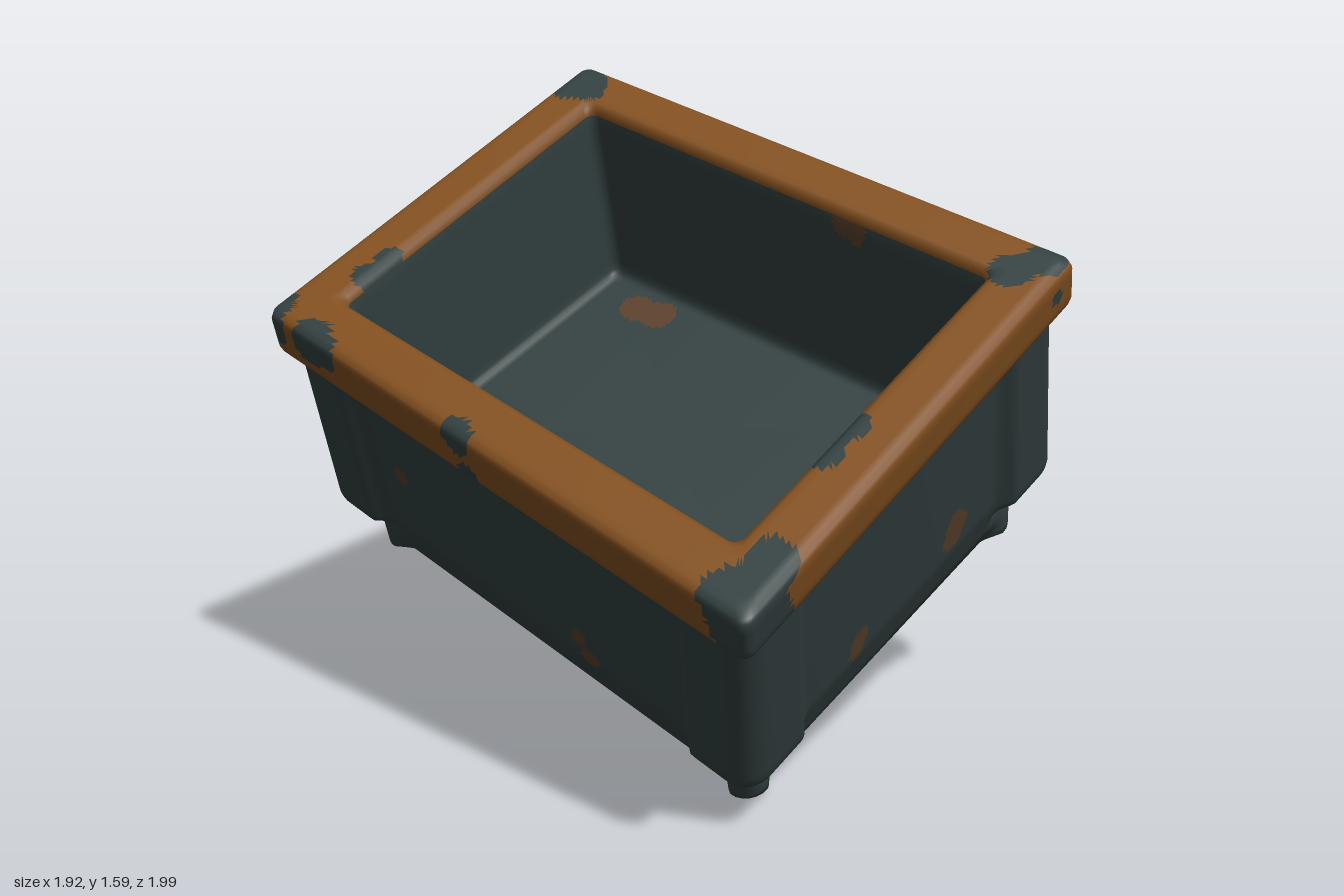
import * as THREE from 'three';

const HX = 0.75, HZ = 0.58, DEPTH = 0.9; // half sizes of the upright bin, and cell depth

// Corners of the tilted rim and the direction each corner runs downward
const TOP = [[-0.325, 1.605, -0.695], [0.96, 1.205, 0.06], [-0.97, 1.035, 0.085], [0.32, 0.615, 1.01]]
  .map((p) => new THREE.Vector3(...p));
const DOWN = [[0.055, -0.87, -0.5], [0.045, -0.79, -0.46], [0.01, -0.79, -0.45], [-0.03, -0.78, -0.465]]
  .map((p) => new THREE.Vector3(...p));

// Place an upright point in the tilted, slightly tapered cell
function tilt(x, y, z) {
  const u = (x / HX + 1) / 2, v = (z / HZ + 1) / 2;
  const weights = [(1 - u) * (1 - v), u * (1 - v), (1 - u) * v, u * v];
  const out = new THREE.Vector3();
  weights.forEach((w, i) => out.addScaledVector(TOP[i], w).addScaledVector(DOWN[i], (-w * y) / DEPTH));
  return out;
}

// Rounded rectangle with outward normals, the same point count for every inset
function outline(inset, r) {
  const hx = HX - inset, hz = HZ - inset, pts = [], arc = 6, straight = 84;
  for (let q = 0; q < 4; q++) {
    const sx = q === 0 || q === 3 ? 1 : -1, sz = q < 2 ? 1 : -1;
    for (let k = 0; k <= arc; k++) {
      const a = (q + k / arc) * Math.PI / 2, nx = Math.cos(a), nz = Math.sin(a);
      pts.push({ x: sx * (hx - r) + r * nx, z: sz * (hz - r) + r * nz, nx, nz });
    }
    const from = pts[pts.length - 1];
    const tx = q % 2 ? from.x : -from.x, tz = q % 2 ? -from.z : from.z;
    for (let k = 1; k < straight; k++) {
      const t = k / straight;
      pts.push({ x: from.x + (tx - from.x) * t, z: from.z + (tz - from.z) * t, nx: from.nx, nz: from.nz });
    }
  }
  return { pts, hx, hz };
}

// Split a profile of [inset, y, scale] into short steps
function refine(profile) {
  const rows = [profile[0]];
  for (let i = 1; i < profile.length; i++) {
    const a = profile[i - 1], b = profile[i];
    const len = Math.hypot(b[0] - a[0], b[1] - a[1], (b[2] - a[2]) * HZ);
    const n = Math.max(1, Math.ceil(len / 0.018));
    for (let k = 1; k <= n; k++) rows.push(a.map((v, c) => v + (b[c] - v) * k / n));
  }
  return rows;
}

// Paint spots are [x, y, z, radius] with an uneven edge
function inSpot(p, spots) {
  const wobble = 1 + 0.12 * Math.sin(p.x * 41 + p.y * 27) + 0.12 * Math.sin(p.z * 37 - p.y * 31);
  return spots.some(([x, y, z, r]) => Math.hypot(p.x - x, p.y - y, p.z - z) < r * wobble);
}

// Sweep a profile round the outline, tilt it, and colour the worn spots
function loft(name, profile, radius, materials, spots, bulge) {
  const rows = refine(profile), local = [], position = [], plain = [], worn = [];
  let count = 0;
  for (const [inset, y, scale] of rows) {
    const { pts, hx, hz } = outline(inset, radius);
    count = pts.length;
    for (const p of pts) {
      const b = bulge ? bulge(Math.max(hx - Math.abs(p.x), hz - Math.abs(p.z)), -y) : 0;
      const q = new THREE.Vector3((p.x + p.nx * b) * scale, y, (p.z + p.nz * b) * scale);
      local.push(q);
      position.push(...tilt(q.x, q.y, q.z).toArray());
    }
  }
  const mid = new THREE.Vector3();
  for (let i = 0; i < rows.length - 1; i++) {
    for (let j = 0; j < count; j++) {
      const a = i * count + j, b = i * count + (j + 1) % count, c = a + count, d = b + count;
      for (const tri of [[a, c, b], [b, c, d]]) {
        mid.set(0, 0, 0);
        tri.forEach((k) => mid.addScaledVector(local[k], 1 / 3));
        (inSpot(mid, spots) ? worn : plain).push(...tri);
      }
    }
  }
  const geo = new THREE.BufferGeometry();
  geo.setAttribute('position', new THREE.Float32BufferAttribute(position, 3));
  geo.setIndex(plain.concat(worn));
  geo.addGroup(0, plain.length, 0);
  geo.addGroup(plain.length, worn.length, 1);
  geo.computeVertexNormals();
  const mesh = new THREE.Mesh(geo, materials);
  mesh.name = name;
  return mesh;
}

// Corner posts: raised down to a notch, then a fold that narrows to a point
const POST = [[0, 0.025], [0.62, 0.032], [0.645, -0.01], [0.7, -0.03], [0.8, 0.03], [0.83, 0]];
function cornerPost(fromCorner, depth) {
  if (depth >= 0.83) return 0;
  const i = POST.findIndex((k) => k[0] > depth);
  const [d0, b0] = POST[i - 1], [d1, b1] = POST[i];
  const height = b0 + (b1 - b0) * (depth - d0) / (d1 - d0);
  const width = 0.16 - 0.11 * THREE.MathUtils.smoothstep(depth, 0.64, 0.8);
  return height * (1 - THREE.MathUtils.smoothstep(fromCorner, width - 0.025, width + 0.025));
}

export function createModel() {
  const make = (name, color) => {
    const m = new THREE.MeshStandardMaterial({ color });
    m.name = name;
    return m;
  };
  const slate = make('slate metal', 0x334040);
  const orange = make('orange rim paint', 0x825020);
  const rust = make('rust chips', 0x5a402a);

  // Outer shell, from the middle of the underside up to the rim
  const shell = loft('outerShell', [
    [0.32, -0.94, 0], [0.32, -0.935, 1], [0.26, -0.92, 1], [0.18, -0.875, 1],
    [0.12, -0.8, 1], [0.075, -0.7, 1], [0.055, -0.6, 1], [0.053, -0.06, 1],
  ], 0.03, [slate, rust], [
    [-0.41, -0.39, 0.525, 0.025], [0.18, -0.54, 0.525, 0.033], [0.21, -0.59, 0.525, 0.033],
    [0.695, -0.52, -0.19, 0.035], [0.695, -0.55, -0.18, 0.035],
    [0.695, -0.55, 0.16, 0.027], [0.695, -0.58, 0.165, 0.027], [0.45, -0.2, -0.525, 0.038],
  ], cornerPost);

  // Painted lip around the opening
  const rim = loft('rim', [
    [0.06, -0.115, 1], [0.02, -0.13, 1], [0.004, -0.12, 1], [0, -0.105, 1], [0, -0.025, 1],
    [0.006, -0.008, 1], [0.02, 0, 1], [0.12, 0, 1], [0.133, -0.008, 1], [0.137, -0.025, 1],
  ], 0.025, [orange, slate], [
    [-0.69, 0, -0.51, 0.075], [-0.68, -0.06, -0.58, 0.025], [-0.75, -0.06, -0.53, 0.02],
    [0.7, 0, -0.54, 0.055], [0.65, 0, -0.47, 0.05], [0.75, -0.06, -0.5, 0.02], [0.67, -0.07, -0.58, 0.02],
    [0.74, -0.04, 0.55, 0.12], [0.71, 0, 0.45, 0.06],
    [-0.75, -0.05, 0.55, 0.07], [-0.6, -0.04, 0.58, 0.065], [-0.54, -0.03, 0.58, 0.045],
    [-0.63, 0, 0.34, 0.045], [-0.63, 0, 0.28, 0.045],
    [-0.07, -0.02, 0.58, 0.045], [-0.05, -0.11, 0.58, 0.03],
    [0.61, 0, 0.09, 0.045], [0.61, 0, 0.16, 0.045], [-0.75, -0.06, -0.14, 0.025],
  ]);

  // Sloping inner walls and floor
  const cavity = loft('cavity', [
    [0.135, -0.02, 1], [0.142, -0.045, 1], [0.21, -0.42, 1], [0.222, -0.435, 1], [0.222, -0.44, 0],
  ], 0.025, [slate, rust], [
    [-0.38, -0.44, -0.28, 0.05], [-0.33, -0.44, -0.29, 0.05],
    [0.2, -0.045, -0.435, 0.03], [0.245, -0.045, -0.435, 0.032],
  ]);

  const model = new THREE.Group();
  model.name = 'tiltedBin';
  model.add(shell, rim, cavity);

  // Stand on the ground, centred
  const box = new THREE.Box3().setFromObject(model);
  const centre = box.getCenter(new THREE.Vector3());
  model.children.forEach((m) => m.position.set(-centre.x, -box.min.y, -centre.z));
  return model;
}
